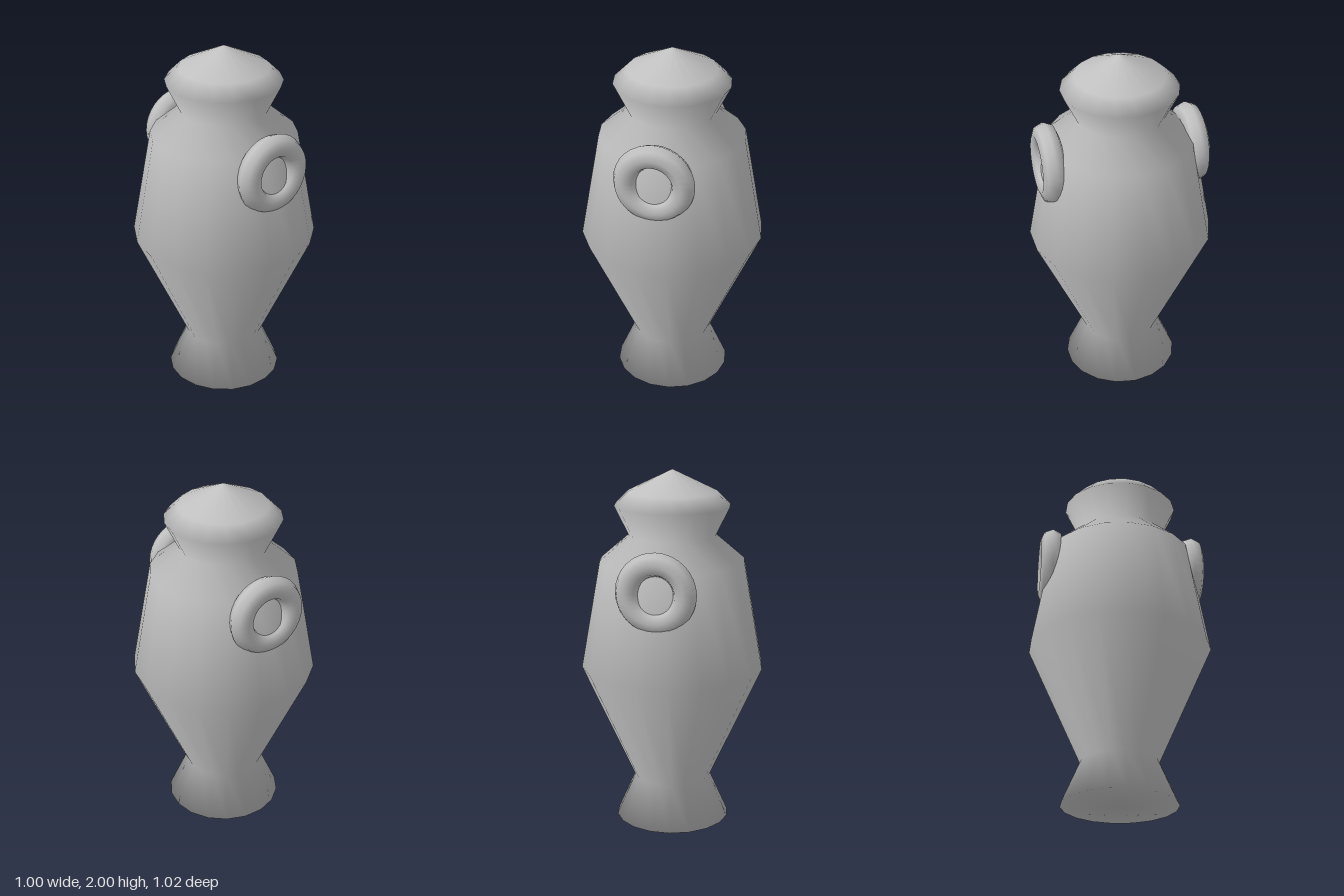
import * as THREE from 'three';

export function createModel() {
  const model = new THREE.Group();
  const stone = new THREE.MeshStandardMaterial({ color: 0xbfbfbf });
  stone.name = 'paleGreyClay';

  // Closed 18-sided body, from base centre up to the tip of the lid
  const profile = [
    [0, 0], [0.32, 0], [0.215, 0.24], [0.51, 0.9], [0.403, 1.5],
    [0.24, 1.64], [0.32, 1.805], [0.245, 1.88], [0, 2],
  ].map(([r, y]) => new THREE.Vector2(r, y));
  const body = new THREE.Mesh(new THREE.LatheGeometry(profile, 18), stone);
  body.name = 'urnBody';
  model.add(body);

  // Ring handles half sunk into the shoulders
  const ring = new THREE.TorusGeometry(0.157, 0.064, 8, 32).rotateY(Math.PI / 2);
  for (const [name, side] of [['leftHandle', 1], ['rightHandle', -1]]) {
    const handle = new THREE.Mesh(ring, stone);
    handle.name = name;
    handle.position.set(side * 0.4, 1.4, 0);
    model.add(handle);
  }
  return model;
}
